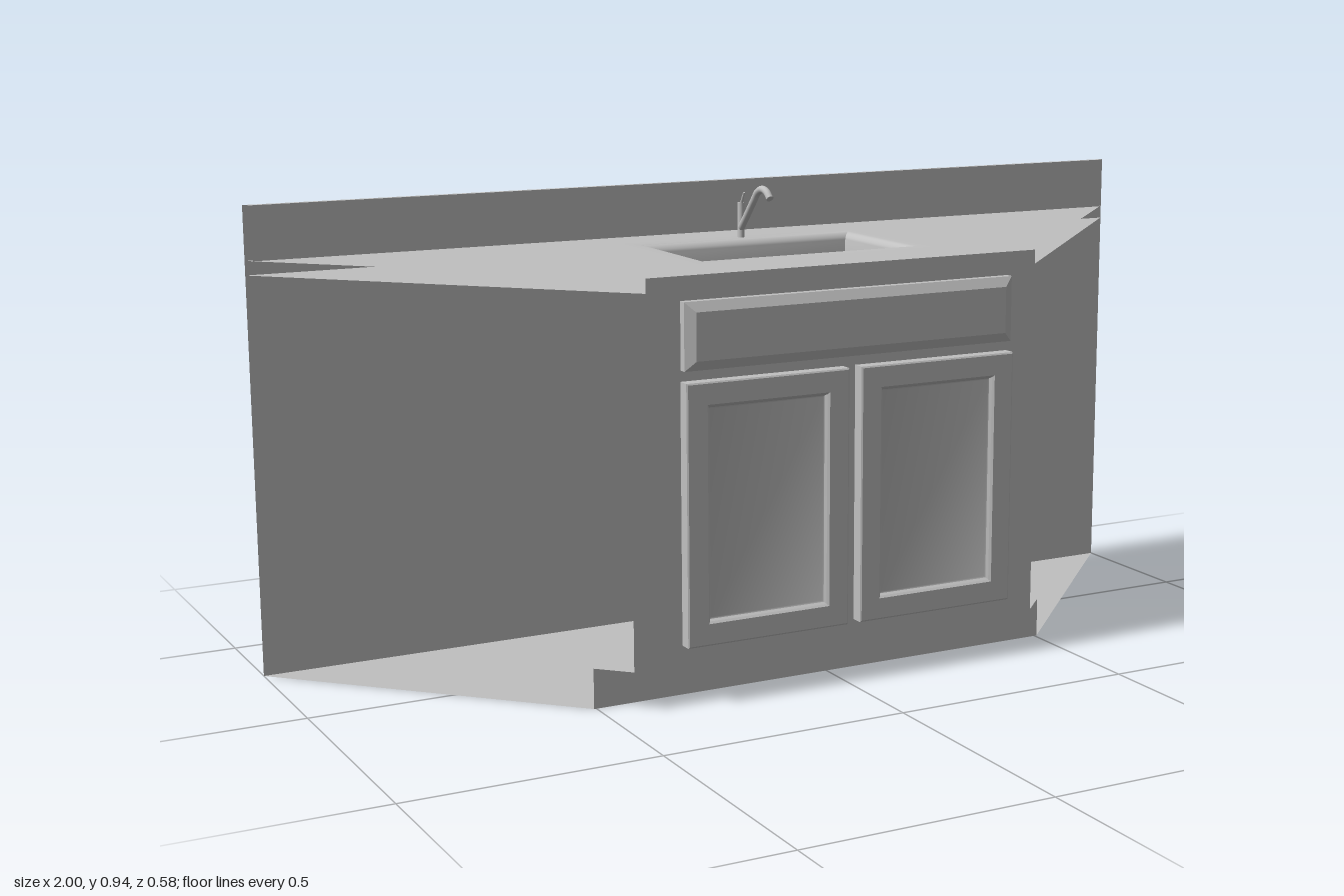
import * as THREE from 'three';
import { toCreasedNormals } from 'three/addons/utils/BufferGeometryUtils.js';

export function createModel() {
  const model = new THREE.Group();
  const grey = new THREE.MeshStandardMaterial({ color: 0xc0c0c0, side: THREE.DoubleSide });
  grey.name = 'plain grey';

  const BACK = -0.29;
  const halfWidth = z => 0.71 - z; // 45 degree corner plan, 1 wide at the back

  function add(name, geometry, parent = model) {
    const mesh = new THREE.Mesh(geometry, grey);
    mesh.name = name;
    parent.add(mesh);
    return mesh;
  }

  // Upright sheet facing +z
  function upright(name, w, y0, y1, z) {
    add(name, new THREE.PlaneGeometry(2 * w, y1 - y0)).position.set(0, (y0 + y1) / 2, z);
  }

  // Level trapezoid sheet between two depths, with an optional rectangular hole
  function level(name, z0, z1, y, hole) {
    const a = halfWidth(z0), b = halfWidth(z1);
    const pts = list => list.map(([x, z]) => new THREE.Vector2(x, -z));
    const shape = new THREE.Shape(pts([[-a, z0], [-b, z1], [b, z1], [a, z0]]));
    if (hole) {
      const [hx, hz] = hole;
      shape.holes.push(new THREE.Path(pts([[-hx, -hz], [hx, -hz], [hx, hz], [-hx, hz]])));
    }
    add(name, new THREE.ShapeGeometry(shape).rotateX(-Math.PI / 2)).position.y = y;
  }

  // Loft through centred rectangles [halfX, halfY, z], closed on the last one
  function loft(rings) {
    const p = [];
    const corners = ([x, y, z]) => [[-x, -y, z], [x, -y, z], [x, y, z], [-x, y, z]];
    const quad = (a, b, c, d) => p.push(...a, ...b, ...c, ...a, ...c, ...d);
    for (let i = 0; i + 1 < rings.length; i++) {
      const a = corners(rings[i]), b = corners(rings[i + 1]);
      for (let k = 0; k < 4; k++) quad(a[k], a[(k + 1) % 4], b[(k + 1) % 4], b[k]);
    }
    quad(...corners(rings[rings.length - 1]));
    const g = new THREE.BufferGeometry();
    g.setAttribute('position', new THREE.Float32BufferAttribute(p, 3));
    return toCreasedNormals(g, 0.5);
  }

  // Cabinet shell, open along both diagonal sides
  upright('backPanel', 1, 0, 0.935, BACK);
  level('floorPanel', BACK, 0.205, 0);
  upright('toeKick', halfWidth(0.205), 0, 0.08, 0.205);
  level('toeKickSoffit', 0.205, 0.263, 0.08);
  upright('frontPanel', halfWidth(0.263), 0.08, 0.8, 0.263);

  // Worktop and backsplash
  level('worktopUnderside', BACK, 0.285, 0.8, [0.236, 0.134]);
  level('worktop', BACK, 0.285, 0.828, [0.242, 0.138]);
  upright('worktopFrontEdge', halfWidth(0.285), 0.8, 0.828, 0.285);
  upright('backsplash', halfWidth(-0.277), 0.828, 0.935, -0.277);
  level('backsplashTop', BACK, -0.277, 0.935);

  // Doors with recessed panels
  for (const [name, cx] of [['rightDoor', -0.1725], ['leftDoor', 0.2015]]) {
    const w = 0.1735, h = 0.2545;
    const door = add(name, loft([
      [w, h, 0.262], [w, h, 0.288], [w - 0.003, h - 0.003, 0.29],
      [w - 0.043, h - 0.043, 0.29], [w - 0.047, h - 0.047, 0.286],
      [w - 0.05, h - 0.05, 0.28], [w - 0.053, h - 0.053, 0.279],
    ]));
    door.position.set(cx, 0.3725, 0);
  }

  // Drawer front with bevelled edges
  add('drawerFront', loft([
    [0.36, 0.065, 0.262], [0.36, 0.065, 0.279], [0.34, 0.046, 0.29],
  ])).position.set(0.015, 0.713, 0);

  // Sink: flat rim, rounded lip, straight walls
  const hx = 0.222, hz = 0.119, r = 0.02;
  const rings = [[0.27, 0.178, 0.83]];
  for (let i = 0; i <= 6; i++) {
    const t = (Math.PI / 2) * (1 - i / 6);
    const out = r * (1 - Math.cos(t));
    rings.push([hx + out, hz + out, 0.81 + r * Math.sin(t)]);
  }
  rings.push([hx, hz, 0.74]);
  add('sink', loft(rings).rotateX(-Math.PI / 2)).position.z = 0.002;

  // Tap
  const tap = new THREE.Group();
  tap.name = 'tap';
  tap.position.x = -0.005;
  model.add(tap);
  add('tapPost', new THREE.CylinderGeometry(0.007, 0.007, 0.072, 16), tap).position.set(0, 0.866, -0.151);
  const lever = add('tapLever', new THREE.CylinderGeometry(0.002, 0.003, 0.026, 10), tap);
  lever.position.set(0, 0.912, -0.143);
  lever.rotation.x = 0.5;
  const v = (y, z) => new THREE.Vector3(0, y, z);
  const path = new THREE.CatmullRomCurve3([
    v(0.85, -0.15), v(0.879, -0.123), v(0.91, -0.095), v(0.93, -0.076),
    v(0.937, -0.057), v(0.933, -0.038), v(0.921, -0.024),
  ]);
  add('tapSpout', new THREE.TubeGeometry(path, 32, 0.0075, 14), tap);
  const tip = add('tapSpoutEnd', new THREE.CircleGeometry(0.0075, 14), tap);
  tip.position.copy(path.getPoint(1));
  tip.lookAt(path.getPoint(1).add(path.getTangent(1)));

  return model;
}
